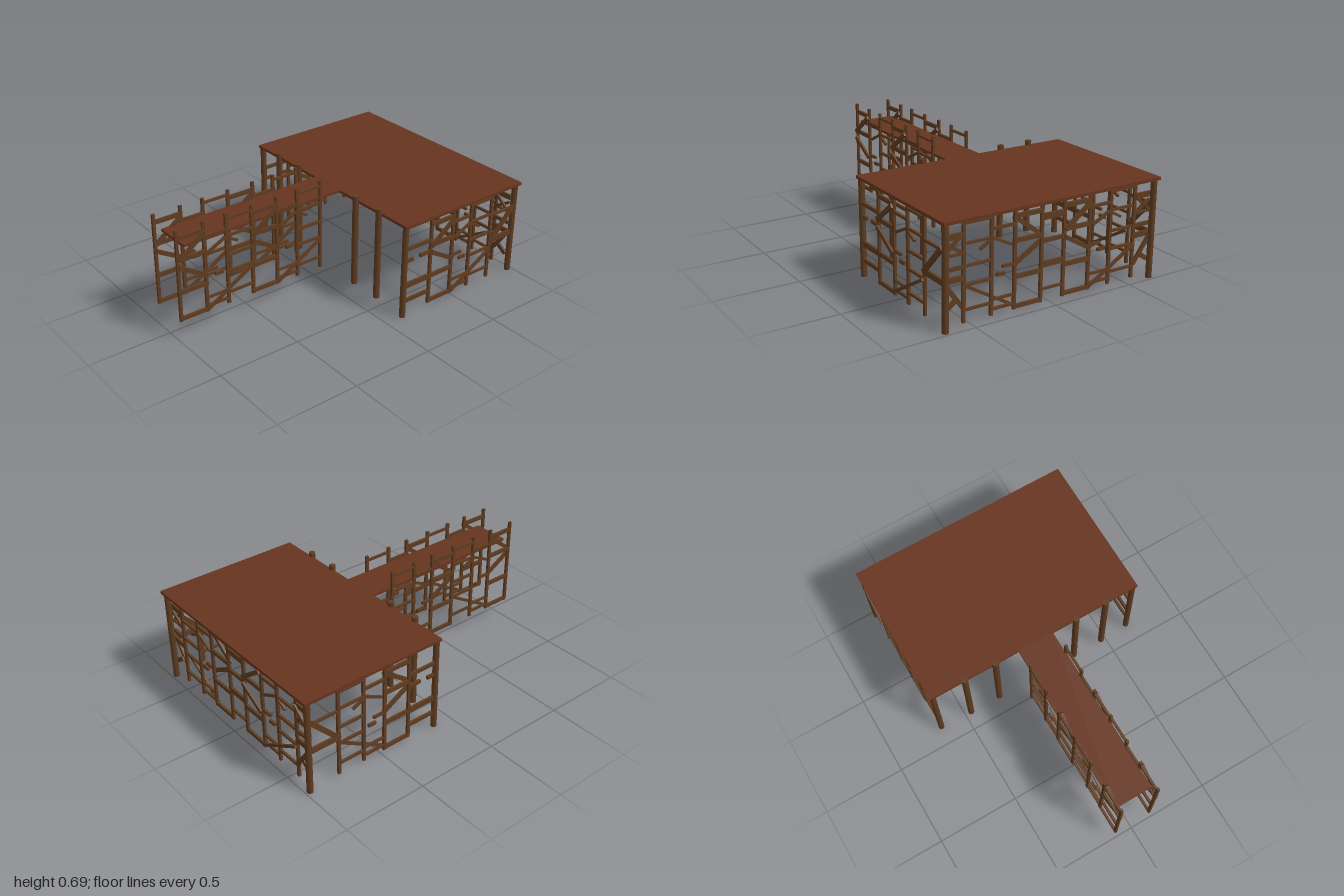
import * as THREE from 'three';

const deckMat = new THREE.MeshStandardMaterial({ color: 0x66341e });
const woodMat = new THREE.MeshStandardMaterial({ color: 0x5e3b20 });

function box(name, w, h, d, x, y, z, mat = woodMat) {
  const m = new THREE.Mesh(new THREE.BoxGeometry(w, h, d), mat);
  m.name = name;
  m.position.set(x, y, z);
  return m;
}

function post(name, x, z, y0, y1, r) {
  const m = new THREE.Mesh(new THREE.CylinderGeometry(r, r, y1 - y0, 12), woodMat);
  m.name = name;
  m.position.set(x, (y0 + y1) / 2, z);
  return m;
}

// Beam in the panel's own XY plane, from (u0, v0) to (u1, v1); w pushes it off the plane
function beam(name, u0, v0, u1, v1, t, w = 0, depth = 0.014) {
  const len = Math.hypot(u1 - u0, v1 - v0);
  const m = box(name, len, t, depth, (u0 + u1) / 2, (v0 + v1) / 2, w);
  m.rotation.z = Math.atan2(v1 - v0, u1 - u0);
  return m;
}

// Level rails across one bay, given as [height, thickness] pairs
function rails(panel, u0, u1, list) {
  for (const [v, t] of list) panel.add(beam('rail', u0, v, u1, v, t));
}

function upright(panel, u) {
  panel.add(beam('upright', u, 0, u, 0.555, 0.018));
}

// Three-bay scaffold section that starts at u
function section(panel, u) {
  const a = u + 0.167, b = u + 0.308, c = u + 0.473;
  for (const x of [u, a, b, c]) upright(panel, x);
  rails(panel, u, a, [[0.014, 0.022], [0.178, 0.024], [0.374, 0.024], [0.505, 0.024]]);
  rails(panel, a, b, [[0.033, 0.014], [0.085, 0.012], [0.465, 0.015]]);
  rails(panel, b, c, [[0.525, 0.013], [0.42, 0.013], [0.302, 0.014], [0.2, 0.014], [0.068, 0.013]]);
  panel.add(
    beam('brace', u, 0.375, a, 0.5, 0.024, 0.012),
    beam('brace', u, 0.335, a, 0.238, 0.024, 0.012),
    beam('brace', a, 0.02, c, 0.2, 0.016, 0.012),
    beam('brace', a + 0.02, 0.36, b, 0.42, 0.014),
    beam('brace', b + 0.01, 0.405, b + 0.07, 0.372, 0.014),
    beam('brokenRail', a, 0.252, a + 0.075, 0.252, 0.015),
    beam('brokenRail', a + 0.06, 0.214, a + 0.11, 0.214, 0.018),
  );
}

// Panel whose local x axis is turned by angle about y
function makePanel(name, x, y, z, angle) {
  const g = new THREE.Group();
  g.name = name;
  g.position.set(x, y, z);
  g.rotation.y = angle;
  return g;
}

export function createModel() {
  const model = new THREE.Group();

  // Platform and walkway boards
  model.add(box('platform', 1.37, 0.017, 0.9, 0, 0.577, -0.55, deckMat));
  model.add(box('walkway', 0.225, 0.015, 1.05, 0, 0.577, 0.42, deckMat));

  for (const s of [-1, 1]) {
    // Posts
    model.add(post('cornerPost', s * 0.662, -0.117, 0, 0.57, 0.018));
    model.add(post('cornerPost', s * 0.662, -0.973, 0, 0.57, 0.018));
    for (const x of [0.265, 0.463]) model.add(post('frontPost', s * x, -0.095, 0.04, 0.61, 0.019));

    // Half of the back scaffold, running outwards from the middle
    const back = makePanel('backScaffold', 0, 0.02, -0.955, s > 0 ? 0 : Math.PI);
    section(back, 0.072);
    rails(back, 0.545, 0.655, [[0.467, 0.03], [0.372, 0.013], [0.3, 0.02], [0.242, 0.03]]);
    back.add(
      beam('brace', 0.65, 0.378, 0.545, 0.468, 0.016, 0.01),
      beam('brace', 0.65, 0.435, 0.545, 0.37, 0.016),
      beam('brace', 0.65, 0.225, 0.545, 0.08, 0.022, 0.01),
      beam('brace', 0.65, 0.09, 0.585, 0.135, 0.026),
    );
    model.add(back);

    // Side scaffold, running from front to back
    const side = makePanel('sideScaffold', s * 0.664, 0.02, 0, Math.PI / 2);
    section(side, 0.31);
    rails(side, 0.117, 0.31, [[0.41, 0.02], [0.178, 0.032], [0.08, 0.022]]);
    rails(side, 0.783, 0.973, [[0.242, 0.032], [0.41, 0.014]]);
    side.add(
      beam('brokenRail', 0.117, 0.335, 0.18, 0.335, 0.02),
      beam('brokenRail', 0.23, 0.338, 0.31, 0.338, 0.02),
      beam('brace', 0.785, 0.242, 0.96, 0.425, 0.028, s * 0.01),
    );
    model.add(side);

    // Walkway scaffold: two sections end to end
    const rail = makePanel('walkwayScaffold', s * 0.114, 0.13, 0, Math.PI / 2);
    section(rail, -0.988);
    section(rail, -0.515);
    model.add(rail);
  }

  // Middle bay of the back scaffold
  const middle = makePanel('backMiddleBay', 0, 0.02, -0.955, 0);
  rails(middle, -0.072, 0.072, [[0.468, 0.034], [0.338, 0.022], [0.208, 0.032], [0.07, 0.012]]);
  model.add(middle);

  return model;
}
